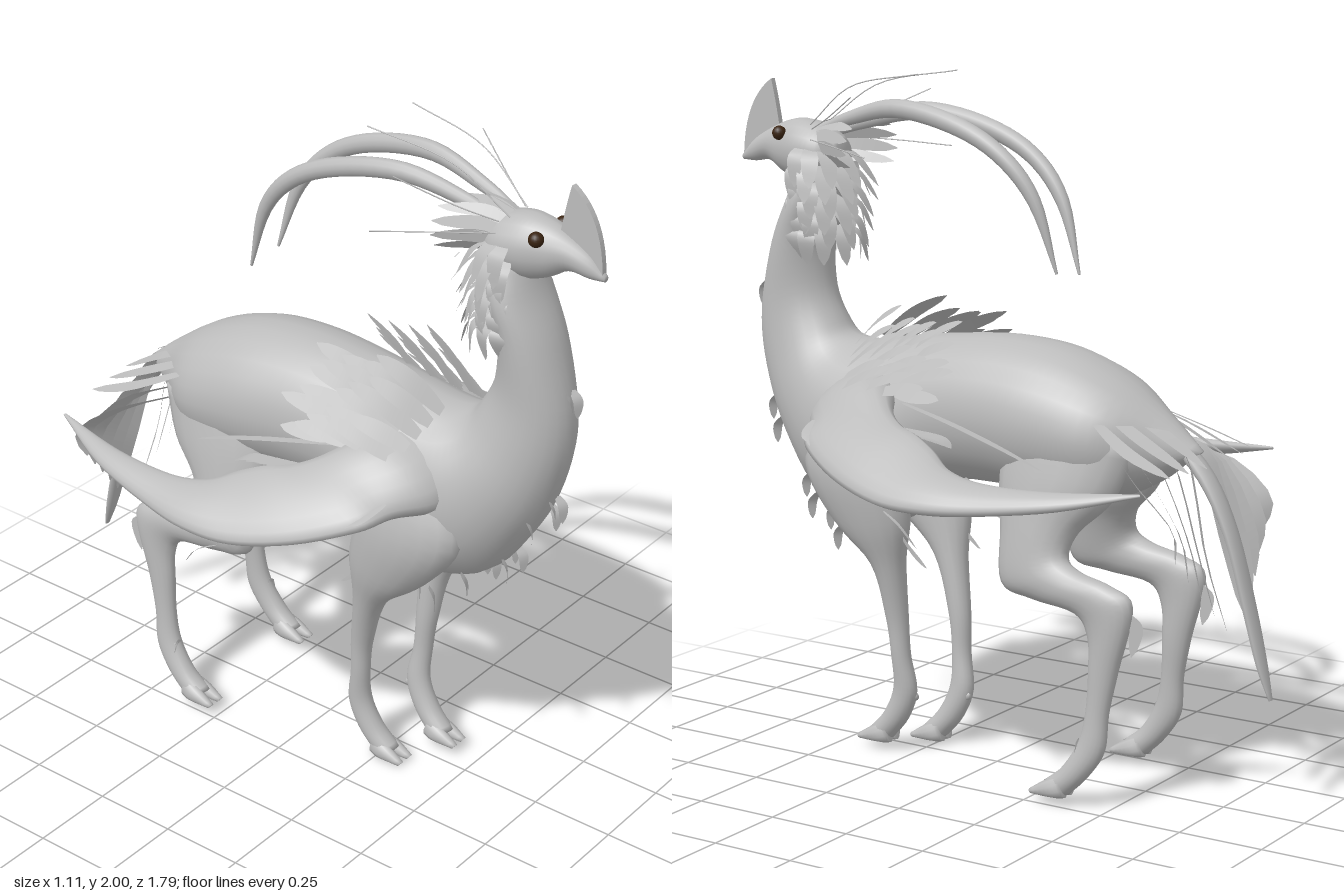
import * as THREE from 'three';

const V = (p) => new THREE.Vector3(...p);

export function createModel() {
  const model = new THREE.Group();
  const mat = (name, color, side = THREE.FrontSide) => {
    const m = new THREE.MeshStandardMaterial({ color, side });
    m.name = name;
    return m;
  };
  const grey = mat('plumage grey', 0xbcbcbc, THREE.DoubleSide);
  const brown = mat('eye brown', 0x3a2412);

  const add = (name, geo, material = grey) => {
    const mesh = new THREE.Mesh(geo, material);
    mesh.name = name;
    model.add(mesh);
    return mesh;
  };
  const mesh = (pos, idx) => {
    const g = new THREE.BufferGeometry();
    g.setAttribute('position', new THREE.Float32BufferAttribute(pos, 3));
    g.setIndex(idx);
    g.computeVertexNormals();
    return g;
  };
  const curve = (pts) => new THREE.CatmullRomCurve3(pts.map(V), false, 'catmullrom', 0.5);

  // Smooth body through elliptical sections: [edge A, edge B, half width]
  const loft = (sections, sub = 5, N = 18) => {
    const A = curve(sections.map((s) => s[0]));
    const B = curve(sections.map((s) => s[1]));
    const W = curve(sections.map((s) => [s[2], 0, 0]));
    const R = (sections.length - 1) * sub;
    const mid = (t) => A.getPoint(t).add(B.getPoint(t)).multiplyScalar(0.5);
    const pos = [], idx = [];
    for (let r = 0; r <= R; r++) {
      const t = r / R, c = mid(t);
      const d = A.getPoint(t).sub(B.getPoint(t)).multiplyScalar(0.5);
      const tan = mid(Math.min(1, t + 0.02)).sub(mid(Math.max(0, t - 0.02)));
      const n = tan.cross(d).normalize().multiplyScalar(Math.max(0.002, W.getPoint(t).x));
      for (let j = 0; j < N; j++) {
        const a = (j / N) * Math.PI * 2;
        const p = c.clone().addScaledVector(d, Math.cos(a)).addScaledVector(n, Math.sin(a));
        pos.push(p.x, p.y, p.z);
        if (r < R) {
          const a0 = r * N + j, b0 = r * N + ((j + 1) % N);
          idx.push(a0, b0, a0 + N, b0, b0 + N, a0 + N);
        }
      }
    }
    const s = (R + 1) * N;
    pos.push(...mid(0).toArray(), ...mid(1).toArray());
    for (let j = 0; j < N; j++) {
      const k = (j + 1) % N;
      idx.push(s, k, j, s + 1, R * N + j, R * N + k);
    }
    return mesh(pos, idx);
  };

  // Thin leaf-shaped plate along a curve, spread along a side direction
  const feather = (name, pts, width, side = [1, 0, 0], blunt = 0.5) => {
    const c = curve(pts), S = V(side).normalize(), n = 8, pos = [], idx = [];
    for (let i = 0; i <= n; i++) {
      const t = i / n, p = c.getPoint(t);
      const w = (width / 2) * Math.max(0.06, Math.pow(Math.sin(Math.PI * (0.1 + 0.9 * t)), blunt));
      for (const k of [-1, 1]) pos.push(p.x + S.x * w * k, p.y + S.y * w * k, p.z + S.z * w * k);
      if (i < n) idx.push(2 * i, 2 * i + 1, 2 * i + 2, 2 * i + 1, 2 * i + 3, 2 * i + 2);
    }
    return add(name, mesh(pos, idx));
  };

  // Torso and neck: [top z, top y, bottom z, bottom y, half width]
  add('torsoAndNeck', loft([
    [-0.67, 1.0, -0.63, 0.97, 0.02], [-0.56, 1.09, -0.54, 0.9, 0.085], [-0.42, 1.185, -0.4, 0.84, 0.188],
    [-0.25, 1.25, -0.2, 0.83, 0.21], [-0.05, 1.27, -0.02, 0.84, 0.2], [0.15, 1.255, 0.15, 0.82, 0.19],
    [0.3, 1.235, 0.33, 0.68, 0.2], [0.42, 1.215, 0.56, 0.72, 0.195], [0.5, 1.225, 0.71, 0.9, 0.155],
    [0.54, 1.27, 0.795, 1.1, 0.12], [0.58, 1.36, 0.815, 1.28, 0.103], [0.59, 1.5, 0.765, 1.48, 0.11],
    [0.56, 1.61, 0.7, 1.62, 0.115], [0.55, 1.71, 0.67, 1.7, 0.085],
  ].map(([tz, ty, bz, by, w]) => [[0, ty, tz], [0, by, bz], w]), 5, 24));

  // Head tapering into the beak: [z, top, bottom, half width]
  add('head', loft([
    [0.53, 1.79, 1.7, 0.04], [0.58, 1.825, 1.67, 0.08], [0.66, 1.845, 1.66, 0.083], [0.73, 1.835, 1.68, 0.065],
    [0.79, 1.81, 1.715, 0.045], [0.85, 1.775, 1.71, 0.028], [0.895, 1.73, 1.712, 0.01],
  ].map(([z, t, b, w]) => [[0, t, z], [0, b, z], w])));

  // Upright blade crest over the beak
  const crest = new THREE.Shape();
  crest.moveTo(0.89, 1.72);
  crest.quadraticCurveTo(0.885, 1.89, 0.785, 1.955);
  crest.quadraticCurveTo(0.77, 1.9, 0.755, 1.81);
  crest.lineTo(0.8, 1.75);
  const crestGeo = new THREE.ExtrudeGeometry(crest, { depth: 0.018, bevelEnabled: false });
  crestGeo.rotateY(-Math.PI / 2).translate(0.009, 0, 0);
  add('crest', crestGeo);

  // Leg rows: [x, front y, front z, back y, back z, half width]
  const leg = (name, rows, s, dz, dy) => {
    const fade = (y) => THREE.MathUtils.clamp((0.85 - y) / 0.4, 0, 1);
    const P = (x, y, z) => [s * x, y + dy * fade(y), z + dz * fade(y)];
    add(name, loft(rows.map(([x, fy, fz, by, bz, w]) => [P(x, fy, fz), P(x, by, bz), w])));
    const [x, fy, fz] = rows[rows.length - 1];
    // Two toes and a dew claw
    for (const k of [-1, 1]) {
      add(name + 'Toe', loft([
        [P(x + k * 0.016, fy + 0.03, fz - 0.06), P(x + k * 0.016, 0.025, fz - 0.08), 0.02],
        [P(x + k * 0.02, fy + 0.005, fz - 0.01), P(x + k * 0.02, 0.02, fz - 0.05), 0.022],
        [P(x + k * 0.022, 0.035, fz + 0.035), P(x + k * 0.022, 0.022, fz + 0.025), 0.012],
      ], 4, 10));
    }
    add(name + 'DewClaw', loft([
      [P(x, 0.2, fz - 0.11), P(x, 0.13, fz - 0.11), 0.02],
      [P(x, 0.185, fz - 0.16), P(x, 0.165, fz - 0.165), 0.008],
    ], 3, 8));
  };
  const frontRows = [
    [0.11, 1.02, 0.52, 1.0, 0.22, 0.07], [0.14, 0.86, 0.57, 0.86, 0.22, 0.08], [0.13, 0.7, 0.48, 0.72, 0.22, 0.07],
    [0.11, 0.58, 0.36, 0.58, 0.25, 0.048], [0.09, 0.42, 0.325, 0.42, 0.255, 0.033], [0.085, 0.3, 0.31, 0.3, 0.25, 0.028],
    [0.075, 0.2, 0.31, 0.19, 0.235, 0.03], [0.07, 0.12, 0.345, 0.1, 0.27, 0.034], [0.065, 0.06, 0.4, 0.03, 0.33, 0.036],
  ];
  const rearRows = [
    [0.1, 1.06, -0.12, 1.0, -0.52, 0.08], [0.13, 0.9, -0.1, 0.86, -0.46, 0.085], [0.165, 0.75, -0.125, 0.77, -0.37, 0.07],
    [0.19, 0.6, -0.145, 0.7, -0.35, 0.06], [0.2, 0.57, -0.25, 0.665, -0.4, 0.05], [0.205, 0.55, -0.39, 0.64, -0.5, 0.04],
    [0.205, 0.49, -0.43, 0.59, -0.57, 0.036], [0.205, 0.4, -0.435, 0.4, -0.525, 0.032], [0.21, 0.28, -0.43, 0.28, -0.5, 0.027],
    [0.215, 0.19, -0.41, 0.17, -0.49, 0.03], [0.22, 0.11, -0.36, 0.09, -0.44, 0.034], [0.22, 0.06, -0.3, 0.03, -0.38, 0.036],
  ];
  leg('leftFrontLeg', frontRows, 1, 0, 0);
  leg('rightFrontLeg', frontRows.map((r) => [r[0] + 0.015, ...r.slice(1)]), -1, -0.09, -0.02);

  // Long central tail feather
  add('tailFeather', loft([
    [-0.56, 1.05, 0.025, 0.03], [-0.68, 0.93, 0.02, 0.035], [-0.76, 0.78, 0.015, 0.036], [-0.82, 0.58, 0.013, 0.035],
    [-0.86, 0.43, 0.011, 0.028], [-0.89, 0.33, 0.004, 0.01],
  ].map(([z, y, h, w]) => [[0, y + h * 0.4, z - h], [0, y - h * 0.4, z + h], w]), 4, 10));

  for (const s of [1, -1]) {
    const side = s > 0 ? 'left' : 'right';
    const M = (pts) => pts.map(([x, y, z]) => [s * x, y, z]);
    leg(side + 'RearLeg', rearRows, s, 0, 0);
    feather(side + 'HockSpur', M([[0.2, 0.58, -0.54], [0.2, 0.54, -0.58], [0.2, 0.45, -0.565]]), 0.045, [0, 0.2, 1]);

    const eye = add(side + 'Eye', new THREE.SphereGeometry(0.021, 16, 12), brown);
    eye.position.set(s * 0.062, 1.803, 0.717);

    // Wing: shoulder sweeping out into a crescent, [leading edge, trailing edge, half thickness]
    add(side + 'Wing', loft([
      [[0.08, 1.0, 0.53], [0.08, 1.13, 0.28], 0.08], [[0.19, 0.98, 0.51], [0.19, 1.1, 0.23], 0.078],
      [[0.29, 0.98, 0.445], [0.27, 1.06, 0.17], 0.055], [[0.385, 0.96, 0.395], [0.31, 1.035, 0.11], 0.042],
      [[0.475, 0.905, 0.24], [0.335, 1.02, 0.04], 0.038], [[0.53, 0.865, 0.06], [0.36, 0.99, -0.03], 0.036],
      [[0.54, 0.86, -0.1], [0.4, 0.95, -0.11], 0.034], [[0.515, 0.87, -0.26], [0.42, 0.93, -0.23], 0.028],
      [[0.465, 0.9, -0.48], [0.41, 0.93, -0.44], 0.02], [[0.375, 0.945, -0.69], [0.37, 0.95, -0.685], 0.004],
    ].map(([a, b, w]) => [...M([a, b]), w])));

    // Jagged feathers on the wing's leading bend, trailing edge and underside
    for (let i = 0; i < 5; i++) {
      const u = i / 4;
      feather(side + 'WristFeather', M([[0.3 + 0.06 * u, 1.02 - 0.04 * u, 0.42 - 0.1 * u],
        [0.36 + 0.05 * u, 1.0 - 0.04 * u, 0.4 - 0.1 * u], [0.395 + 0.05 * u, 0.98 - 0.05 * u, 0.385 - 0.12 * u]]), 0.04, [0.5 * s, 0, 1]);
      feather(side + 'TrailingFeather', M([[0.3 + 0.02 * u, 1.03, 0.16 - 0.12 * u], [0.3 + 0.03 * u, 1.02, 0.08 - 0.11 * u],
        [0.28 + 0.06 * u, 1.0, 0.04 - 0.11 * u]]), 0.05);
      feather(side + 'UnderwingFeather', M([[0.2 + 0.03 * i, 1.0, 0.22], [0.24 + 0.025 * i, 0.93, 0.12],
        [0.27 + 0.02 * i, 0.85 + 0.012 * i, 0.05 - 0.02 * i]]), 0.055, [s, 0.3, 0]);
    }
    feather(side + 'LongFlankFeather', M([[0.21, 1.08, 0.18], [0.25, 1.05, 0.0], [0.25, 1.0, -0.16], [0.23, 0.94, -0.3]]), 0.03);
    feather(side + 'WingWisp', M([[0.535, 0.85, 0.02], [0.548, 0.82, -0.04], [0.538, 0.76, -0.09]]), 0.012);

    // Layered shoulder feathers fanning up and back
    for (let r = 0; r < 4; r++) for (let k = 0; k < 5; k++) {
      const wob = Math.sin(r * 5 + k * 3.7);
      const x = 0.07 + 0.036 * k, y = 1.21 - 0.026 * k, z = 0.44 - 0.065 * r - 0.012 * k;
      const up = 0.13 - 0.016 * k - 0.014 * r + 0.02 * wob, back = 0.19 + 0.02 * wob;
      feather(side + 'ShoulderFeather', M([[x, y, z], [x + 0.025, y + up * 0.6, z - back * 0.5], [x + 0.045, y + up, z - back]]),
        0.056, [s, -0.6, 0], 0.5);
    }

    // Nape feathers hanging down the back of the neck
    for (let r = 0; r < 6; r++) for (let k = 0; k < 4; k++) {
      const a = 0.22 + k * 0.42 + (r % 2) * 0.12, y = 1.77 - 0.045 * r;
      const q = (rad, yy) => [Math.sin(a) * rad, yy, 0.635 - Math.cos(a) * rad];
      feather(side + 'NapeFeather', M([q(0.075, y), q(0.135 - 0.008 * k, y - 0.035), q(0.2 - 0.028 * k - 0.008 * r, y - 0.115)]),
        0.052, [s * Math.cos(a), 0, Math.sin(a)]);
    }

    // Short ruff behind the eyes, then long whiskers
    for (let k = 0; k < 5; k++) {
      const a = 1.35 - k * 0.5, c = Math.cos(a), d = Math.sin(a);
      feather(side + 'RuffFeather', M([[0.05 * c, 1.77 + 0.06 * d, 0.62], [0.08 * c, 1.78 + 0.07 * d, 0.54],
        [0.03 + 0.1 * c, 1.77 + 0.08 * d, 0.43]]), 0.04, [s * d, -c, 0]);
    }
    for (const path of [[[0.04, 1.83, 0.62], [0.07, 1.95, 0.45], [0.1, 1.995, 0.2]],
      [[0.06, 1.82, 0.6], [0.12, 1.86, 0.5], [0.2, 1.93, 0.36]],
      [[0.07, 1.79, 0.6], [0.15, 1.78, 0.45], [0.22, 1.765, 0.3]]]) {
      add(side + 'Whisker', new THREE.TubeGeometry(curve(M(path)), 12, 0.0018, 5));
    }

    // Long arched head plume: [x, y, z, half depth, half width, tilt of the section]
    const drop = s > 0 ? 0 : 0.015;
    add(side + 'HeadPlume', loft([
      [0.025, 1.81, 0.61, 0.01, 0.012, -0.4], [0.04, 1.855, 0.48, 0.02, 0.018, -0.3], [0.065, 1.893, 0.3, 0.027, 0.023, 0.05],
      [0.08, 1.86, 0.1, 0.028, 0.024, 0.35], [0.085, 1.785, -0.06, 0.025, 0.022, 0.75], [0.075, 1.66, -0.17, 0.02, 0.017, 1.0],
      [0.06, 1.46, -0.235, 0.004, 0.004, 1.25],
    ].map(([x, y, z, h, w, f]) => [
      ...M([1, -1].map((k) => [x, y - drop + k * h * Math.cos(f), z - k * h * Math.sin(f)])), w]), 5, 12));

    // Drooping tail strands, spread sideways
    for (let k = 0; k < 5; k++) {
      const x = 0.045 + 0.047 * k, z = -0.55 + 0.025 * k, fall = 0.45 - 0.055 * k;
      feather(side + 'TailStrand', M([[x * 0.4, 1.04 - 0.015 * k, z], [x, 0.98 - 0.01 * k, z - 0.1 - 0.01 * k],
        [x + 0.025, 0.95 - fall * 0.5, -0.72], [x + 0.015, 0.97 - fall, -0.785 + 0.015 * k]]), 0.055, [0.8 * s, 0, -0.6], 0.35);
      if (k % 2 === 0) {
        feather(side + 'TailCovert', M([[0.04 + 0.03 * k, 1.12 - 0.01 * k, -0.42], [0.06 + 0.04 * k, 1.06 - 0.01 * k, -0.56],
          [0.07 + 0.042 * k, 0.97, -0.72 + 0.005 * k]]), 0.05, [s, -0.3, 0]);
      }
    }

    // Loose tufts down the breast, by the knees and under the belly
    for (const [x, y, z] of [[0.015, 1.36, 0.8], [0.02, 1.02, 0.765], [0.06, 0.96, 0.72], [0.04, 0.8, 0.63], [0.12, 0.76, 0.55],
      [0.07, 0.72, 0.52], [0.13, 0.68, 0.45], [0.09, 0.67, 0.37]]) {
      feather(side + 'BreastTuft', M([[x, y, z], [x, y - 0.03, z + 0.02], [x, y - 0.08, z + 0.02]]), 0.03, [s, 0, 0.6]);
    }
    feather(side + 'ElbowTuft', M([[0.13, 0.7, 0.27], [0.14, 0.64, 0.21], [0.14, 0.59, 0.15]]), 0.04, [0, 1, 0.5]);
    feather(side + 'BellyTuft', M([[0.14, 0.87, 0.02], [0.17, 0.81, -0.08], [0.18, 0.76, -0.18]]), 0.04, [1, 0, 0]);
  }

  return model;
}
